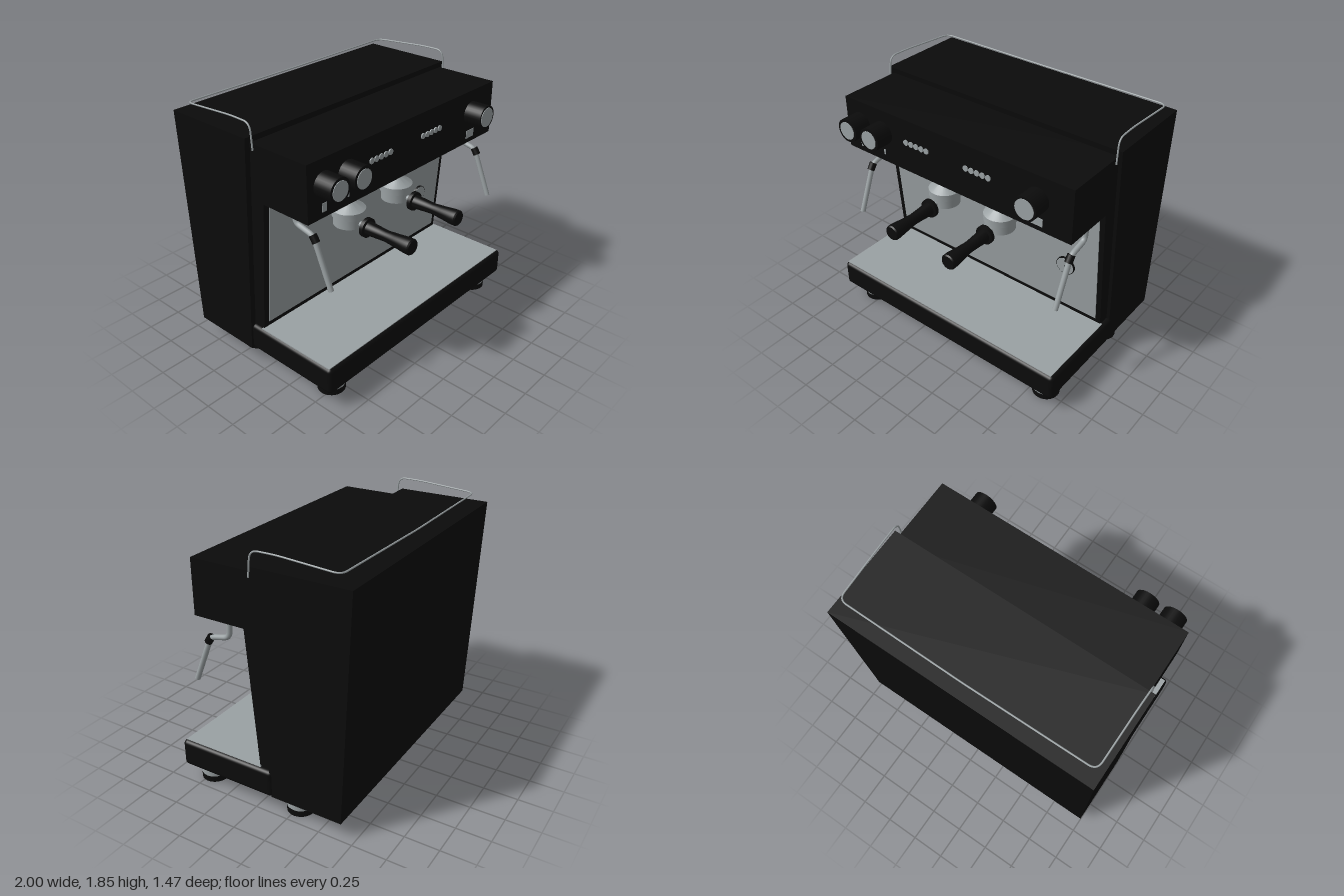
import * as THREE from 'three';
import { toCreasedNormals } from 'three/addons/utils/BufferGeometryUtils.js';
import { RoundedBoxGeometry } from 'three/addons/geometries/RoundedBoxGeometry.js';

const mat = (name, color) => {
  const m = new THREE.MeshStandardMaterial({ color });
  m.name = name;
  return m;
};

export function createModel() {
  const black = mat('black', 0x0b0b0b);
  const steel = mat('steel', 0x9aa1a3);
  const model = new THREE.Group();
  model.name = 'espressoMachine';

  const add = (name, geo, material, x = 0, y = 0, z = 0, parent = model) => {
    const m = new THREE.Mesh(geo, material);
    m.name = name;
    m.position.set(x, y, z);
    parent.add(m);
    return m;
  };
  const group = (name, x = 0, y = 0, z = 0) => {
    const g = new THREE.Group();
    g.name = name;
    g.position.set(x, y, z);
    model.add(g);
    return g;
  };
  // side profile given as [z, y], extruded from x0 to x1
  const prism = (pts, x0, x1) =>
    new THREE.ExtrudeGeometry(new THREE.Shape(pts.map(p => new THREE.Vector2(...p))),
      { depth: x1 - x0, bevelEnabled: false }).rotateY(-Math.PI / 2).translate(x1, 0, 0);
  // turned profile given as [radius, height]
  const lathe = (pts, n = 32) =>
    toCreasedNormals(new THREE.LatheGeometry(pts.map(p => new THREE.Vector2(...p)), n), 0.5);
  // disc or rod facing +z, starting at z = 0
  const rod = (r, d, n = 32) =>
    new THREE.CylinderGeometry(r, r, d, n).rotateX(Math.PI / 2).translate(0, 0, d / 2);
  // bent pipe with straight runs and rounded corners
  const pipe = (pts, r, bend, n = 80, sides = 12) => {
    const v = pts.map(p => new THREE.Vector3(...p));
    const path = new THREE.CurvePath();
    let last = v[0];
    for (let i = 1; i < v.length - 1; i++) {
      const a = v[i].clone().add(v[i - 1].clone().sub(v[i]).setLength(bend));
      const b = v[i].clone().add(v[i + 1].clone().sub(v[i]).setLength(bend));
      path.add(new THREE.LineCurve3(last, a));
      path.add(new THREE.QuadraticBezierCurve3(a, v[i], b));
      last = b;
    }
    path.add(new THREE.LineCurve3(last, v[v.length - 1]));
    return new THREE.TubeGeometry(path, n, r, sides);
  };

  // Housing, sloping front frame and control head
  add('housing', prism([[-0.66, 0.12], [-0.12, 0.12], [-0.03, 1.75], [-0.73, 1.75]], -1, 0.985), black);
  const frontZ = y => -0.02 + 0.08 * (y - 0.32);
  add('frontFrame', prism([[-0.15, 0.3], [frontZ(0.3), 0.3], [frontZ(1.33), 1.33], [-0.15, 1.33]], -0.96, 0.96), black);
  add('splashPanel', prism([[frontZ(0.36), 0.36], [frontZ(0.36) + 0.006, 0.36],
    [frontZ(1.28) + 0.006, 1.28], [frontZ(1.28), 1.28]], -0.917, 0.922), steel);
  add('controlHead', new THREE.BoxGeometry(1.92, 0.395, 0.55), black, 0, 1.5125, 0.175);

  // Drip tray
  add('dripTray', new RoundedBoxGeometry(1.985, 0.2, 0.76, 4, 0.03), black, 0.005, 0.219, 0.25);
  add('trayPlate', new THREE.BoxGeometry(1.945, 0.008, 0.64), steel, 0.0, 0.319, 0.29);

  // Feet
  for (const x of [-0.81, 0.85]) for (const z of [0.47, -0.27]) {
    add('footCollar', new THREE.CylinderGeometry(0.098, 0.098, 0.08, 32), steel, x, 0.085, z);
    add('footPad', new THREE.CylinderGeometry(0.098, 0.098, 0.046, 32), black, x, 0.023, z);
  }

  // Control knobs
  for (const [x, r] of [[-0.82, 0.066], [-0.61, 0.066], [0.7, 0.071]]) {
    const k = group('knob', x, 1.54, 0.45);
    add('knobBody', rod(0.086, 0.135), black, 0, 0, 0, k);
    add('knobFace', rod(r, 0.005), steel, 0, 0, 0.134, k);
  }
  // Push buttons
  for (const start of [-0.39, 0.135]) for (let i = 0; i < 5; i++)
    add('pushButton', rod(0.021, 0.008, 20), steel, start + i * 0.046, 1.54, 0.45);
  // Small function marks below the knobs
  add('steamMark', new THREE.BoxGeometry(0.04, 0.06, 0.004), steel, -0.82, 1.385, 0.451);
  add('waterMark', new THREE.BoxGeometry(0.014, 0.04, 0.004), steel, -0.605, 1.39, 0.451);
  add('switchMark', new THREE.BoxGeometry(0.09, 0.06, 0.004), steel, 0.7, 1.38, 0.451);

  // Brew groups with handles
  for (const x of [-0.305, 0.205]) {
    const g = group('brewGroup', x, 0, 0.175);
    add('groupHead', lathe([[0, 0.92], [0.02, 0.924], [0.045, 0.955], [0.11, 0.955], [0.11, 1.025],
      [0.12, 1.025], [0.12, 1.075], [0.045, 1.125], [0.03, 1.14], [0, 1.14]]), steel, 0, 0, 0, g);
    add('supplyPipe', pipe([[0, 1.12, 0], [0, 1.193, 0], [0, 1.193, -0.15]], 0.018, 0.045, 30), steel, 0, 0, 0, g);
    add('handleNeck', rod(0.02, 0.1, 16), steel, 0, 0.985, 0.08, g);
    add('handle', lathe([[0, 0], [0.07, 0], [0.07, 0.028], [0.05, 0.032], [0.043, 0.13], [0.04, 0.19],
      [0.047, 0.27], [0.057, 0.36], [0.057, 0.395], [0.05, 0.405], [0, 0.405]])
      .rotateX(Math.PI / 2), black, 0, 0.98, 0.155, g);
  }

  // Steam wands
  const tilt = Math.atan2(0.13, 0.33);
  for (const x of [-0.84, 0.913]) {
    const w = group('steamWand', x);
    add('wandPipe', pipe([[0, 1.33, 0.205], [0, 1.195, 0.215], [0, 1.16, 0.37], [0, 0.815, 0.512]],
      0.019, 0.04), steel, 0, 0, 0, w);
    const tip = add('wandTip', new THREE.CylinderGeometry(0.019, 0.019, 0.006, 16), steel, 0, 0.815, 0.512, w);
    tip.rotation.x = -tilt;
    const joint = add('wandGrip', new THREE.CylinderGeometry(0.027, 0.027, 0.055, 16), black, 0, 1.143, 0.378, w);
    joint.rotation.x = -tilt - 0.2;
  }

  // Pressure gauge on the splash panel
  const gauge = group('gauge', 0.67, 0.745, frontZ(0.745));
  gauge.rotation.x = 0.08;
  add('gaugeRim', rod(0.072, 0.022, 40), black, 0, 0, 0, gauge);
  add('gaugeFace', rod(0.068, 0.003, 40), steel, 0, 0, 0.021, gauge);
  add('gaugePin', rod(0.005, 0.003, 12), black, 0, 0, 0.023, gauge);

  // Cup rail around the top
  add('cupRail', pipe([[-0.968, 1.67, 0], [-0.965, 1.845, -0.015], [-0.96, 1.845, -0.2], [-0.955, 1.815, -0.635],
    [0, 1.808, -0.642], [0.95, 1.815, -0.635], [0.955, 1.845, -0.2], [0.96, 1.845, -0.015], [0.965, 1.67, 0]],
    0.006, 0.06, 260, 8), steel);

  return model;
}
